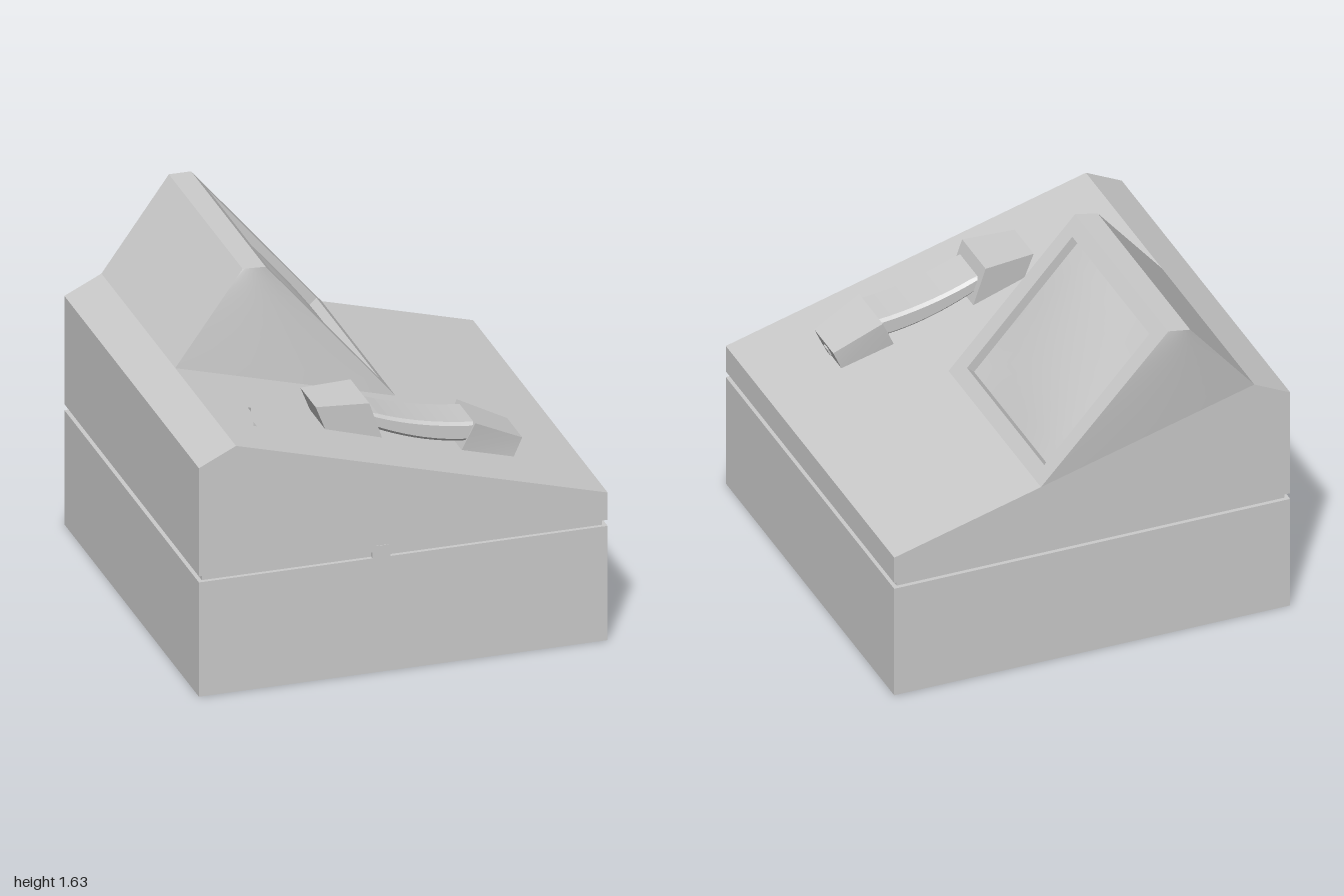
import * as THREE from 'three';
import { mergeGeometries } from 'three/addons/utils/BufferGeometryUtils.js';

const X = 0.965, ZF = 0.997, ZB = -0.935;      // case extents
const SLOPE = -0.2764, DECK = 0.9967, DEPTH = 0.02;
const deckY = (x) => DECK + SLOPE * x;
const v = (x, y, z) => new THREE.Vector3(x, y, z);

// Bilinear patch through four corners (counter-clockwise from outside), optionally bulged.
function patch([a, b, c, d], n = 1, bulge = 0) {
  const normal = b.clone().sub(a).cross(d.clone().sub(a)).normalize();
  const pos = [], index = [];
  for (let j = 0; j <= n; j++) for (let i = 0; i <= n; i++) {
    const s = i / n, t = j / n;
    const p = a.clone().lerp(b, s).lerp(d.clone().lerp(c, s), t);
    p.addScaledVector(normal, bulge * (1 - (2 * s - 1) ** 2) * (1 - (2 * t - 1) ** 2));
    pos.push(p.x, p.y, p.z);
    if (i < n && j < n) {
      const k = j * (n + 1) + i;
      index.push(k, k + 1, k + n + 2, k, k + n + 2, k + n + 1);
    }
  }
  const g = new THREE.BufferGeometry();
  g.setAttribute('position', new THREE.Float32BufferAttribute(pos, 3));
  g.setIndex(index);
  g.computeVertexNormals();
  return g;
}

// Four-sided prism along z; each profile corner is [x, y, halfWidth], counter-clockwise.
function taperedBlock(profile, zc) {
  const front = profile.map(([x, y, w]) => v(x, y, zc + w));
  const back = profile.map(([x, y, w]) => v(x, y, zc - w));
  const faces = [patch(front), patch([...back].reverse())];
  for (let i = 0; i < 4; i++) {
    const j = (i + 1) % 4;
    faces.push(patch([front[i], back[i], back[j], front[j]]));
  }
  return mergeGeometries(faces);
}

// Plan outline in (x, z), stored as (x, -z)
const plan = (pts) => pts.map(([x, z]) => new THREE.Vector2(x, -z));
const rect = (x0, x1, z0, z1) => plan([[x0, z0], [x1, z0], [x1, z1], [x0, z1]]);

export function createModel() {
  const model = new THREE.Group();
  const material = new THREE.MeshStandardMaterial({ color: 0xcccccc });
  const add = (name, geometry, parent = model) => {
    const mesh = new THREE.Mesh(geometry, material);
    mesh.name = name;
    parent.add(mesh);
    return mesh;
  };
  const box = (name, x0, x1, y0, y1, z0, z1, parent) =>
    add(name, new THREE.BoxGeometry(x1 - x0, y1 - y0, z1 - z0), parent)
      .position.set((x0 + x1) / 2, (y0 + y1) / 2, (z0 + z1) / 2);

  // Lower case, recessed seam and front latch
  box('lowerCase', -X, X, 0, 0.565, ZB, ZF);
  box('seam', -X + 0.02, X - 0.02, 0.56, 0.6, ZB + 0.02, ZF - 0.02);
  box('latchMount', -0.145, -0.06, 0.565, 0.595, 0.9, ZF);
  box('latch', -0.13, -0.07, 0.52, 0.625, 0.95, 1);

  // Upper case, sunk under the deck plate by the depth of the recesses
  const side = new THREE.Shape([
    [-X, 0.595], [X, 0.595], [X, deckY(X) - DEPTH], [-0.79, deckY(-0.79) - DEPTH],
    [-0.79, deckY(-0.79)], [-X, 1.13],
  ].map(([x, y]) => new THREE.Vector2(x, y)));
  add('upperCase', new THREE.ExtrudeGeometry(side, { depth: ZF - ZB, bevelEnabled: false })
    .translate(0, 0, ZB));

  // Sloping deck plate with keypad and handset recesses cut through
  const deck = new THREE.Shape(rect(-0.79, X, ZB, ZF));
  const cutouts = [
    rect(0.34, 0.89, -0.855, 0.125),
    rect(0.34, 0.745, 0.38, 0.74),
    plan([[-0.73, 0.43], [-0.6, 0.43], [-0.6, 0.5], [-0.555, 0.5], [-0.555, 0.43], [-0.39, 0.43],
      [-0.39, 0.74], [-0.555, 0.74], [-0.555, 0.67], [-0.6, 0.67], [-0.6, 0.74], [-0.73, 0.74]]),
  ];
  cutouts.forEach((c) => deck.holes.push(new THREE.Path(c)));
  const shear = new THREE.Matrix4().set(1, 0, 0, 0, SLOPE, 1, 0, DECK - DEPTH, 0, 0, 1, 0, 0, 0, 0, 1);
  add('deckPlate', new THREE.ExtrudeGeometry(deck, { depth: DEPTH, bevelEnabled: false })
    .rotateX(-Math.PI / 2).applyMatrix4(shear));

  // Monitor hood: heel, ridge back, ridge front and toe at each end
  const monitor = new THREE.Group();
  monitor.name = 'monitor';
  model.add(monitor);
  const heel = [0.125, ZB].map((z) => v(-0.79, deckY(-0.79), z));
  const ridgeBack = [0.06, -1].map((z) => v(-0.45, 1.628, z));
  const ridgeFront = [0.085, -0.985].map((z) => v(-0.35, 1.635, z));
  const toe = [0.125, ZB].map((z) => v(0.25, deckY(0.25), z));
  add('hood', mergeGeometries([
    patch([heel[0], toe[0], ridgeFront[0], ridgeBack[0]], 8),
    patch([toe[1], heel[1], ridgeBack[1], ridgeFront[1]], 8),
    patch([heel[1], heel[0], ridgeBack[0], ridgeBack[1]]),
    patch([ridgeBack[0], ridgeFront[0], ridgeFront[1], ridgeBack[1]]),
  ]), monitor);

  // Screen frame, recess walls and bulging glass
  const outer = [toe[0], toe[1], ridgeFront[1], ridgeFront[0]];
  const onFace = (x, z) => v(x, THREE.MathUtils.mapLinear(x, -0.35, 0.25, 1.635, deckY(0.25)), z);
  const inner = [onFace(0.2, 0.03), onFace(0.2, -0.855), onFace(-0.3, -0.885), onFace(-0.3, 0)];
  const sunk = inner.map((p) => p.clone().addScaledVector(v(0.763, 0.647, 0), -0.045));
  const frame = [];
  for (let i = 0; i < 4; i++) {
    const j = (i + 1) % 4;
    frame.push(patch([outer[i], outer[j], inner[j], inner[i]]));
    frame.push(patch([inner[i], inner[j], sunk[j], sunk[i]]));
  }
  add('screenFrame', mergeGeometries(frame), monitor);
  add('screen', patch(sunk, 10, 0.03), monitor);

  // Telephone handset
  const handset = new THREE.Group();
  handset.name = 'handset';
  model.add(handset);
  add('earpiece', taperedBlock([[-0.27, 1.09, 0.11], [-0.01, 1.022, 0.135],
    [-0.07, 1.2, 0.135], [-0.315, 1.205, 0.11]], 0.587), handset);
  add('mouthpiece', taperedBlock([[0.37, 0.9, 0.12], [0.62, 0.826, 0.108],
    [0.66, 0.915, 0.108], [0.43, 1.03, 0.135]], 0.59), handset);
  add('jack', new THREE.BoxGeometry(0.02, 0.04, 0.04), handset);
  const jack = handset.children[2];
  jack.position.set(0.636, 0.868, 0.59);
  jack.rotation.z = -0.42;

  // Curved grip with chamfered edges
  const b = 0.014;
  const grip = new THREE.Shape();
  grip.moveTo(-0.07, 1.15 - b);
  grip.quadraticCurveTo(0.15, 1.055 - b, 0.42, 1.028 - b);
  grip.lineTo(0.42, 0.938 + b);
  grip.quadraticCurveTo(0.2, 0.95 + b, -0.05, 1.07 + b);
  add('grip', new THREE.ExtrudeGeometry(grip, {
    depth: 0.225 - 2 * b, curveSegments: 10, bevelThickness: b, bevelSize: b, bevelSegments: 1,
  }).translate(0, 0, 0.487 + b), handset);

  return model;
}
